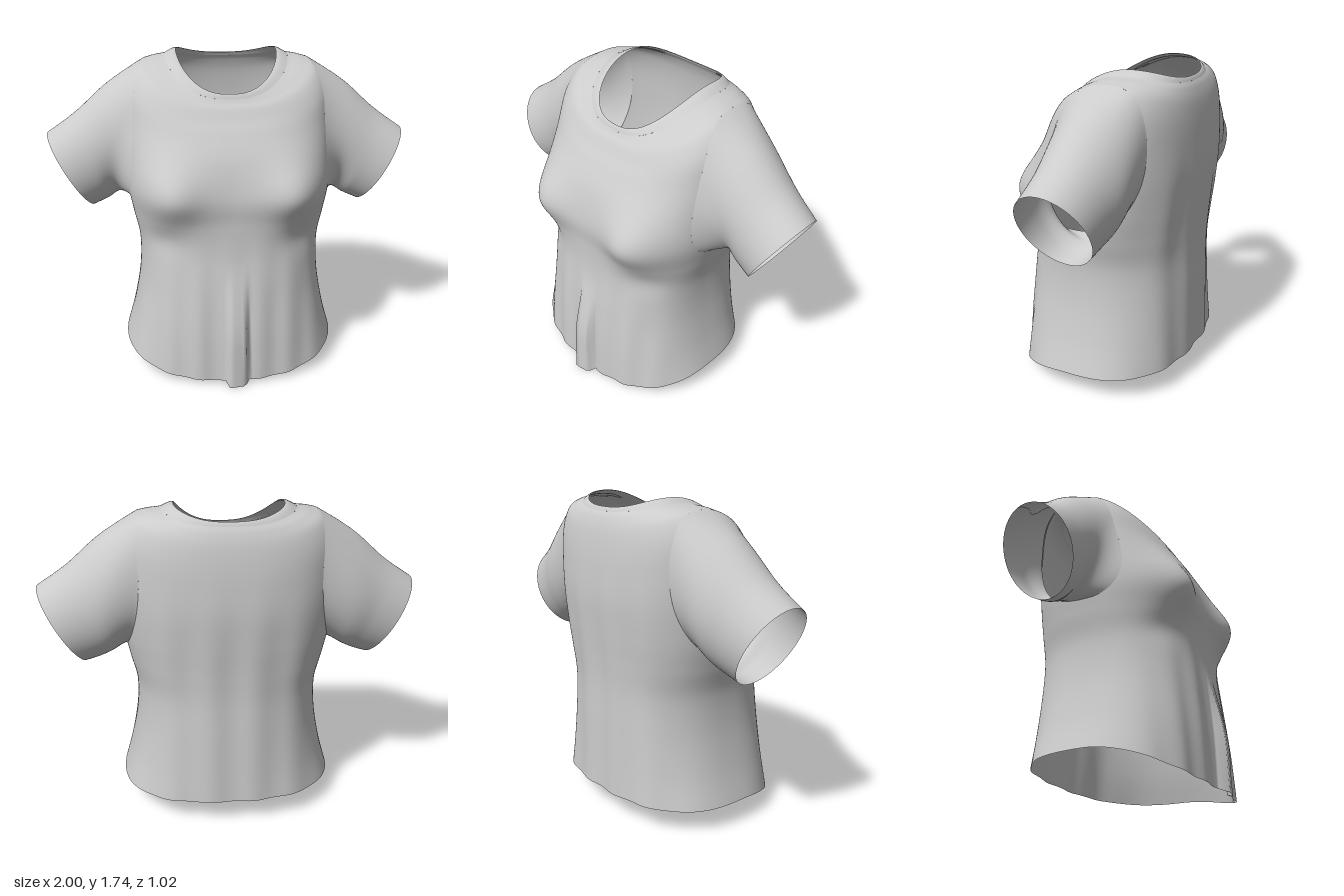
import * as THREE from 'three';

const cloth = new THREE.MeshStandardMaterial({ color: 0xcccccc, side: THREE.DoubleSide });

// Body rings from hem to neckline:
// half width, front z, back z, side z, front y, side y, back y
const RINGS = [
  [0.600, 0.465, -0.495, 0.00, 0.02, 0.14, 0.15],
  [0.550, 0.455, -0.490, 0.00, 0.28, 0.32, 0.32],
  [0.510, 0.435, -0.485, 0.00, 0.52, 0.54, 0.54],
  [0.503, 0.410, -0.480, 0.00, 0.74, 0.74, 0.74],
  [0.535, 0.405, -0.485, -0.02, 0.90, 0.90, 0.90],
  [0.562, 0.410, -0.495, -0.04, 1.05, 1.05, 1.05],
  [0.570, 0.370, -0.505, -0.08, 1.23, 1.22, 1.23],
  [0.570, 0.307, -0.500, -0.11, 1.36, 1.40, 1.38],
  [0.555, 0.262, -0.490, -0.13, 1.43, 1.57, 1.49],
  [0.500, 0.230, -0.475, -0.15, 1.485, 1.672, 1.58],
  [0.420, 0.208, -0.455, -0.17, 1.51, 1.704, 1.64],
  [0.340, 0.195, -0.437, -0.19, 1.53, 1.718, 1.67],
  [0.278, 0.180, -0.420, -0.21, 1.555, 1.743, 1.69],
];
const COLLAR_START = 11 / 12;

// Armhole: an ellipse on the body surface in angle and height
const ARMHOLE = { t: 7.0 / 12, height: 2.55 / 12, front: 0.49, back: 0.7 };

// Sleeve sections out to the cuff: top x, top y, bottom x, bottom y, front z, back z
const SLEEVE = [
  [0.66, 1.568, 0.615, 0.948, 0.08, -0.37],
  [0.84, 1.412, 0.68, 0.912, 0.072, -0.335],
  [1.00, 1.300, 0.76, 0.88, 0.08, -0.31],
];

// Smooth interpolation through the rows of a table
function sample(table, t) {
  const f = t * (table.length - 1);
  const i = Math.min(Math.floor(f), table.length - 2);
  const at = (k) => table[THREE.MathUtils.clamp(k, 0, table.length - 1)];
  const u = f - i;
  return table[0].map((_, c) => {
    const [p0, p1, p2, p3] = [at(i - 1)[c], at(i)[c], at(i + 1)[c], at(i + 2)[c]];
    return p1 + 0.5 * u * (p2 - p0 + u * (2 * p0 - 5 * p1 + 4 * p2 - p3 + u * (3 * (p1 - p2) + p3 - p0)));
  });
}

// Open tube through closed loops; skip(angle, t) leaves a hole
function loft(name, around, rows, point, skip = () => false) {
  const pos = [], index = [];
  const angle = (i) => (i / around) * Math.PI * 2;
  for (let j = 0; j <= rows; j++) {
    for (let i = 0; i < around; i++) pos.push(...point(angle(i), j / rows));
  }
  for (let j = 0; j < rows; j++) {
    for (let i = 0; i < around; i++) {
      const n = (i + 1) % around;
      const [a, b] = [j * around + i, j * around + n];
      const [c, d] = [b + around, a + around];
      if (!skip(angle(i + 0.5), (j + 0.5) / rows)) index.push(a, b, c, a, c, d);
    }
  }
  const geo = new THREE.BufferGeometry();
  geo.setAttribute('position', new THREE.Float32BufferAttribute(pos, 3));
  geo.setIndex(index);
  geo.computeVertexNormals();
  const mesh = new THREE.Mesh(geo, cloth);
  mesh.name = name;
  return mesh;
}

const bump = (d, r) => Math.exp(-(d * d) / (r * r));
const spow = (v, e) => Math.sign(v) * Math.abs(v) ** e;

// Point on the body at angle a (0 = front) and height parameter t
function bodyPoint(a, t) {
  const [w, zf, zb, zc, yf, ys, yb] = sample(RINGS, t);
  const s = Math.sin(a), c = Math.cos(a);
  const e = 2 / 2.5;
  const front = c > 0;
  const x = w * spow(s, e);
  let y = front ? ys + (yf - ys) * c ** 1.5 : ys + (yb - ys) * c * c;
  let z = zc + (front ? zf - zc : zc - zb) * spow(c, e);
  if (front) {
    // Bust, with the cloth tucked in beneath it
    z += 0.1 * bump(Math.abs(x) - 0.35, 0.175) * bump(y - 1.07, 0.165) * c ** 0.5;
    z -= 0.02 * bump(Math.abs(x) - 0.38, 0.1) * bump(y - 0.8, 0.08) * c;
    // Box pleat at the centre front
    const pleat = 1 - THREE.MathUtils.smoothstep(Math.abs(x - 0.017), 0.045, 0.06);
    z += 0.045 * pleat * (1 - THREE.MathUtils.smoothstep(y, 0.25, 0.72));
    y -= 0.018 * pleat * (1 - THREE.MathUtils.smoothstep(y, 0, 0.2));
    // Hanging folds
    z += 0.006 * (1 - THREE.MathUtils.smoothstep(y, 0.3, 0.95)) * c * Math.cos(x * 38 + 1);
  } else {
    z += 0.006 * (1 - THREE.MathUtils.smoothstep(y, 0.9, 1.5)) * -c * Math.cos(x * 27);
  }
  return [x, y, z];
}

const armholeWidth = (forward) => (forward > 0 ? ARMHOLE.front : ARMHOLE.back);

// Point on the armhole outline, grown by r; b = 0 is the shoulder, then forward
function armholePoint(b, r) {
  const s = Math.sin(b);
  return bodyPoint(Math.PI / 2 - r * armholeWidth(s) * s, ARMHOLE.t + r * ARMHOLE.height * Math.cos(b));
}

// Place in the armhole ellipse: forward and up offsets, each 1 at the outline
function armholeOffset(a, t) {
  const forward = Math.PI / 2 - (a > Math.PI ? Math.PI * 2 - a : a);
  return [forward / armholeWidth(forward), (t - ARMHOLE.t) / ARMHOLE.height];
}

// Body surface, with points inside the armhole moved out to its edge
function torsoPoint(a, t) {
  const [forward, up] = armholeOffset(a, t);
  if (Math.hypot(forward, up) >= 1) return bodyPoint(a, t);
  const [x, y, z] = armholePoint(Math.atan2(forward, up), 1);
  return [a > Math.PI ? -x : x, y, z];
}

// Sleeve leaving the armhole along the body surface and running to the cuff
function sleeve(name, side) {
  return loft(name, 96, 40, (a, t) => {
    const b = a * side;
    const c = Math.cos(b), s = Math.sin(b);
    const path = [armholePoint(b, 1.15), armholePoint(b, 1)];
    for (const [tx, ty, bx, by, zf, zb] of SLEEVE) {
      path.push([
        (tx + bx) / 2 + ((tx - bx) / 2) * c,
        (ty + by) / 2 + ((ty - by) / 2) * c,
        (zf + zb) / 2 + ((zf - zb) / 2) * s,
      ]);
    }
    const [x, y, z] = sample(path, 0.25 + 0.75 * t);
    return [side * x, y, z];
  });
}

export function createModel() {
  const shirt = new THREE.Group();
  shirt.name = 'shirt';
  shirt.add(loft('body', 288, 110, (a, t) => torsoPoint(a, t * COLLAR_START),
    (a, t) => Math.hypot(...armholeOffset(a, t * COLLAR_START)) < 0.93));

  // Neckband, slightly raised from the body
  shirt.add(loft('collar', 128, 6, (a, t) => {
    const [x, y, z] = bodyPoint(a, COLLAR_START + t * (1 - COLLAR_START));
    return [x, y + 0.006 * Math.sin(t * Math.PI), z];
  }));

  shirt.add(sleeve('leftSleeve', 1), sleeve('rightSleeve', -1));
  return shirt;
}
